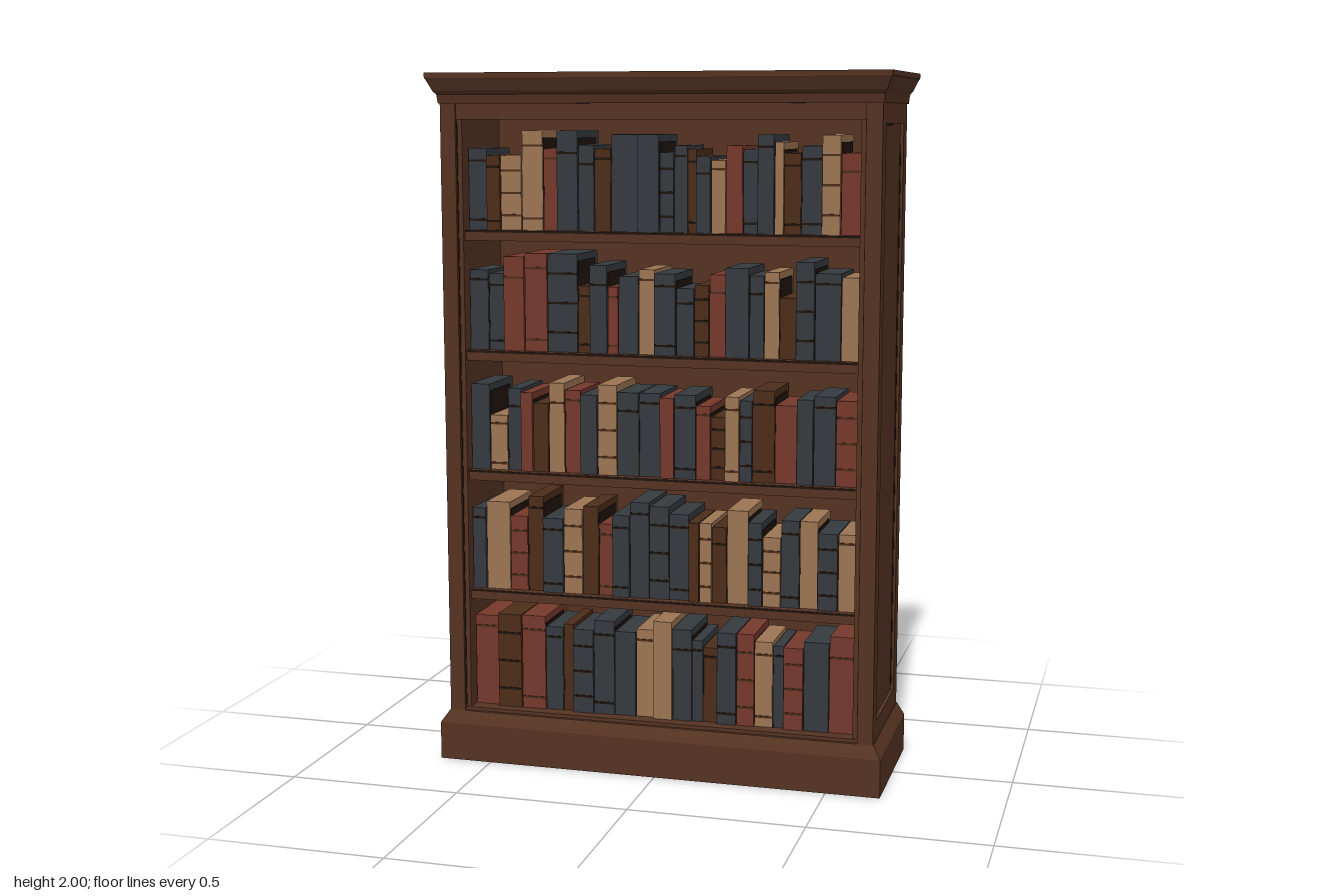
import * as THREE from 'three';

const flat = (name, color) => {
  const m = new THREE.MeshStandardMaterial({ color });
  m.name = name;
  return m;
};

export function createModel() {
  const root = new THREE.Group();
  root.name = 'bookcase';
  const wood = flat('walnut wood', 0x553322);
  const ink = flat('dark line', 0x20140d);
  const covers = {
    N: flat('slate cloth', 0x353a3f),
    R: flat('red leather', 0x75382c),
    T: flat('tan leather', 0x9c7453),
    B: flat('brown leather', 0x4c2d19),
  };

  // Box given by its limits on each axis
  const box = (name, mat, x0, x1, y0, y1, z0, z1, parent = root) => {
    const m = new THREE.Mesh(new THREE.BoxGeometry(x1 - x0, y1 - y0, z1 - z0), mat);
    m.position.set((x0 + x1) / 2, (y0 + y1) / 2, (z0 + z1) / 2);
    m.name = name;
    parent.add(m);
    return m;
  };

  // Stack of rectangles [y, half width, front z, back z], closed at both ends
  const moulding = (name, rings) => {
    const pos = [];
    const corners = rings.map(([y, w, f, b]) => [[-w, y, f], [w, y, f], [w, y, b], [-w, y, b]]);
    const quad = (a, b, c, d) => pos.push(...a, ...b, ...c, ...a, ...c, ...d);
    for (let i = 0; i + 1 < corners.length; i++) {
      const lo = corners[i], hi = corners[i + 1];
      for (let k = 0; k < 4; k++) {
        const n = (k + 1) % 4;
        quad(lo[k], lo[n], hi[n], hi[k]);
      }
    }
    const top = corners[corners.length - 1], bottom = corners[0];
    quad(top[0], top[1], top[2], top[3]);
    quad(bottom[3], bottom[2], bottom[1], bottom[0]);
    const g = new THREE.BufferGeometry();
    g.setAttribute('position', new THREE.Float32BufferAttribute(pos, 3));
    g.computeVertexNormals();
    const m = new THREE.Mesh(g, wood);
    m.name = name;
    root.add(m);
  };

  // Plinth and cornice
  moulding('plinth', [
    [0, 0.655, 0.23, -0.21], [0.11, 0.655, 0.23, -0.21],
    [0.125, 0.645, 0.222, -0.21], [0.145, 0.632, 0.21, -0.21],
  ]);
  moulding('cornice', [
    [1.915, 0.634, 0.214, -0.214], [1.94, 0.636, 0.22, -0.222], [1.95, 0.643, 0.232, -0.232],
    [1.98, 0.656, 0.247, -0.247], [1.985, 0.66, 0.25, -0.25], [2, 0.66, 0.25, -0.25],
  ]);

  // Carcass
  box('backPanel', wood, -0.62, 0.62, 0.14, 1.92, -0.21, -0.1);
  box('topRail', wood, -0.6, 0.6, 1.87, 1.92, -0.2, 0.203);
  box('bottomDeck', wood, -0.6, 0.6, 0.12, 0.155, -0.2, 0.2);
  for (const s of [-1, 1]) {
    const side = new THREE.Group();
    side.name = s > 0 ? 'leftSide' : 'rightSide';
    root.add(side);
    const part = (name, mat, a, b, ...rest) =>
      box(name, mat, Math.min(s * a, s * b), Math.max(s * a, s * b), ...rest, side);
    part('sidePanel', wood, 0.585, 0.62, 0.14, 1.92, -0.2, 0.2);
    part('frontStile', wood, 0.585, 0.63, 0.14, 1.92, 0.155, 0.21);
    part('innerBead', wood, 0.57, 0.588, 0.15, 1.88, -0.1, 0.198);
    part('backStile', wood, 0.6, 0.63, 0.14, 1.92, -0.21, -0.155);
    part('upperRail', wood, 0.6, 0.63, 1.86, 1.92, -0.156, 0.156);
    part('lowerRail', wood, 0.6, 0.63, 0.14, 0.2, -0.156, 0.156);
    part('panelLineFront', ink, 0.619, 0.623, 0.22, 1.86, 0.15, 0.155);
    part('panelLineBack', ink, 0.619, 0.623, 0.22, 1.8, -0.155, -0.151);
    part('panelLineTop', ink, 0.619, 0.623, 1.855, 1.86, 0, 0.155);
    part('beadLine', ink, 0.583, 0.587, 0.16, 1.87, 0.198, 0.201);
  }

  // Each book: cover letter, relative width, height in hundredths
  const bays = [
    [0.155, 'R14.27 B14.28 R14.28 N10.25 B6.26 N12.25 N12.28 N12.25 T10.26 T11.29 N11.27 N6.24 B8.22 N11.27 R10.27 T10.25 N6.24 R11.24 N14.26 R14.28'],
    [0.51, 'N8.24 T14.26 R10.22 B9.28 N12.22 T11.25 B9.26 R8.21 N10.24 N11.28 N11.27 N11.25 B6.23 T7.23 B8.22 T12.27 N8.24 T10.20 N10.25 T10.25 N11.22 T10.22'],
    [0.865, 'N11.25 T10.16 N8.24 R7.23 B9.20 T9.26 R9.24 N10.23 T11.26 N12.24 N12.24 R8.23 N12.24 R8.21 B8.18 T8.24 N7.23 B12.26 R12.22 N9.24 N12.25 R12.24'],
    [1.215, 'N11.23 N9.22 R12.27 R13.28 N17.28 B7.19 N10.25 R6.19 N11.22 T9.24 N12.23 N10.19 B8.20 R9.23 N13.25 N8.23 T8.24 B9.17 N10.27 N14.24 T10.23'],
    [1.56, 'N11.23 B8.21 T12.21 T12.28 R8.23 N12.28 N9.24 B9.23 N15.27 N12.27 N8.22 N7.24 B5.23 N8.21 T8.20 R9.24 N8.23 N9.27 T5.25 B9.22 N11.24 T10.27 R11.22'],
  ];
  const bandSets = [[0.12, 0.85], [0.78], [0.2, 0.5, 0.8], [], [0.88]];
  bays.forEach(([floor, list], row) => {
    if (row > 0) {
      box('shelf', wood, -0.585, 0.585, floor - 0.03, floor, -0.12, 0.185);
      box('shelfLine', ink, -0.57, 0.57, floor - 0.006, floor - 0.001, 0.184, 0.187);
    }
    const shelfBooks = new THREE.Group();
    shelfBooks.name = 'bookRow';
    root.add(shelfBooks);
    const books = list.split(' ').map((t) => [t[0], ...t.slice(1).split('.').map(Number)]);
    const unit = 1.138 / books.reduce((sum, b) => sum + b[1], 0);
    let x = -0.569;
    books.forEach(([cover, w, h], i) => {
      const x1 = x + w * unit, top = floor + h / 100;
      const front = 0.155 + 0.004 * ((i * 7 + row * 3) % 4);
      box('book', covers[cover], x + 0.0012, x1 - 0.0012, floor, top, -0.03, front, shelfBooks);
      // Raised spine bands
      for (const t of bandSets[(i * 3 + row + w) % 5]) {
        const y = floor + (t * h) / 100;
        box('spineBand', cover === 'T' || cover === 'R' ? covers.B : ink,
          x + 0.002, x1 - 0.002, y - 0.003, y + 0.003, front - 0.002, front + 0.003, shelfBooks);
      }
      // Dark joint between neighbours
      box('jointLine', ink, x1 - 0.002, x1 + 0.002, floor, top - 0.02, 0.0, 0.156, shelfBooks);
      x = x1;
    });
  });
  return root;
}
